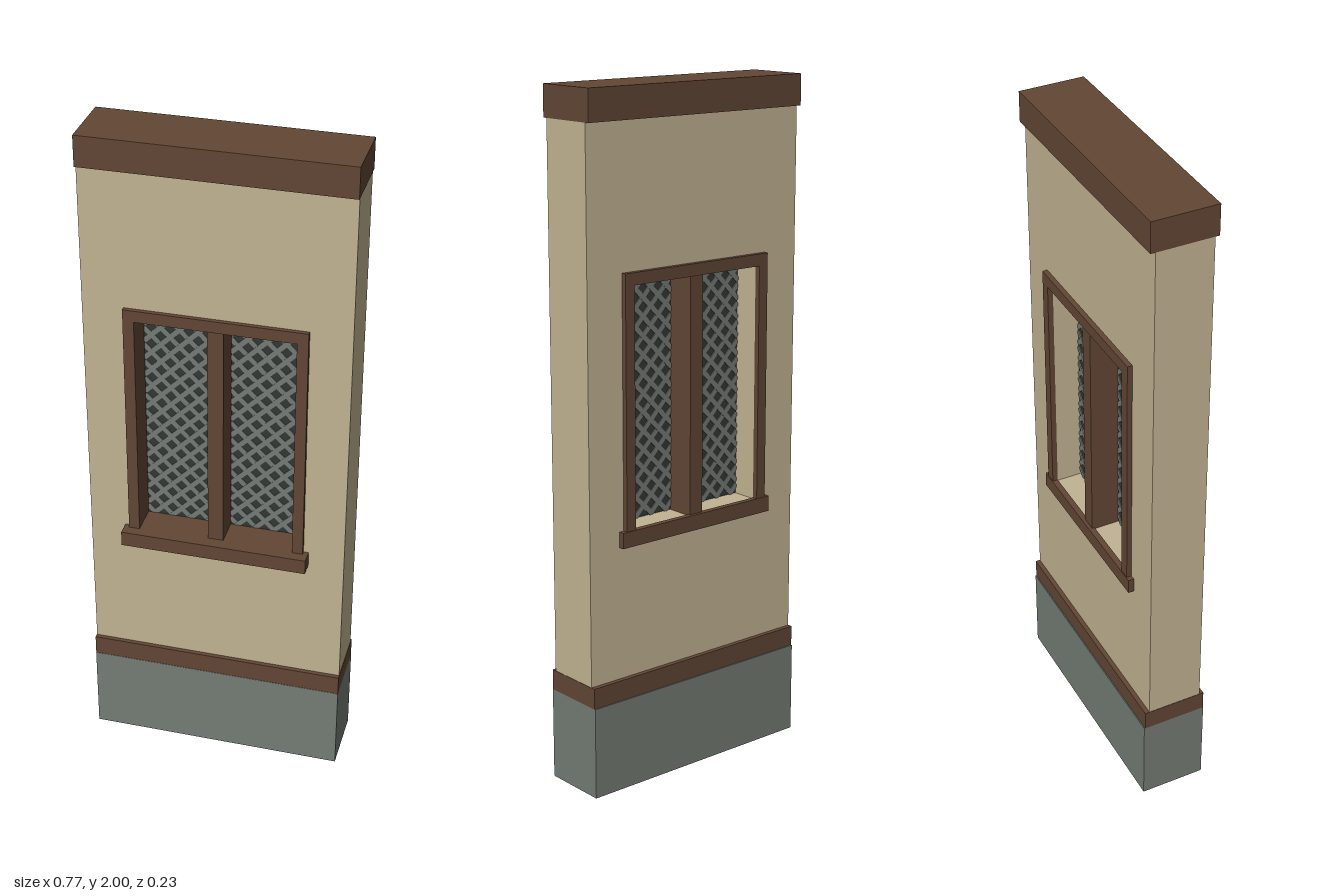
import * as THREE from 'three';

const mat = (name, color) => {
  const m = new THREE.MeshStandardMaterial({ color });
  m.name = name;
  return m;
};

export function createModel() {
  const group = new THREE.Group();
  const plaster = mat('plaster', 0xc2b392);
  const timber = mat('timber', 0x614634);
  const stone = mat('stone', 0x747b74);
  const glass = mat('darkGlass', 0x323735);
  const lead = mat('leadGrey', 0x737a75);

  // Box given by its limits on each axis
  const box = (name, material, x0, x1, y0, y1, z0, z1, parent = group) => {
    const mesh = new THREE.Mesh(new THREE.BoxGeometry(x1 - x0, y1 - y0, z1 - z0), material);
    mesh.position.set((x0 + x1) / 2, (y0 + y1) / 2, (z0 + z1) / 2);
    mesh.name = name;
    parent.add(mesh);
    return mesh;
  };
  const rect = (target, x0, x1, y0, y1) => {
    target.moveTo(x0, y0);
    target.lineTo(x1, y0);
    target.lineTo(x1, y1);
    target.lineTo(x0, y1);
    target.closePath();
    return target;
  };

  // Stone footing and the horizontal beams
  const W = 0.383;
  box('stoneBase', stone, -W, W, 0, 0.272, -0.114, 0.084);
  box('lowerBeam', timber, -W, W, 0.272, 0.333, -0.111, 0.083);
  box('topBeam', timber, -W, W, 1.91, 2, -0.112, 0.082);

  // Plaster wall with the window opening
  const wallShape = rect(new THREE.Shape(), -W + 0.001, W - 0.001, 0.333, 1.91);
  wallShape.holes.push(rect(new THREE.Path(), -0.232, 0.232, 0.767, 1.467));
  const wall = new THREE.Mesh(
    new THREE.ExtrudeGeometry(wallShape, { depth: 0.167, bevelEnabled: false }), plaster);
  wall.position.z = -0.097;
  wall.name = 'wall';
  group.add(wall);

  // Window frames: a deep one in front, a thin trim behind
  const frame = (name, z0, z1) => {
    for (const s of [-1, 1]) {
      const a = s * 0.23, b = s * 0.262;
      box(name + 'Post', timber, Math.min(a, b), Math.max(a, b), 0.77, 1.5, z0, z1);
    }
    box(name + 'Head', timber, -0.23, 0.23, 1.465, 1.5, z0, z1);
  };
  frame('frontFrame', -0.01, 0.083);
  frame('backFrame', -0.112, -0.096);
  box('frontSill', timber, -0.277, 0.277, 0.725, 0.771, 0.069, 0.114);
  box('innerSill', timber, -0.23, 0.23, 0.75, 0.771, -0.01, 0.07);
  box('backSill', timber, -0.277, 0.277, 0.725, 0.771, -0.114, -0.096);
  box('mullion', timber, -0.023, 0.023, 0.767, 1.467, -0.104, 0.076);

  // Leaded panes: dark glass with diagonal bars clipped to the opening
  const y0 = 0.768, y1 = 1.466, zc = -0.015, step = 0.055;
  for (const s of [-1, 1]) {
    const pane = new THREE.Group();
    pane.name = s > 0 ? 'leftPane' : 'rightPane';
    group.add(pane);
    const x0 = s > 0 ? 0.022 : -0.231, x1 = x0 + 0.209;
    box('glass', glass, x0, x1, y0, y1, zc - 0.003, zc + 0.003, pane);
    for (const dir of [-1, 1]) {
      const start = dir > 0 ? x0 : x1;
      for (let c = y0 - 0.209 + step / 2; c < y1; c += step) {
        // Bar runs along y = c + t at a distance t from its starting side
        const t0 = Math.max(0, y0 - c), t1 = Math.min(0.209, y1 - c);
        if (t1 - t0 < 0.012) continue;
        const bar = new THREE.Mesh(
          new THREE.BoxGeometry((t1 - t0) * Math.SQRT2, 0.015, dir > 0 ? 0.012 : 0.011), lead);
        const t = (t0 + t1) / 2;
        bar.position.set(start + dir * t, c + t, zc);
        bar.rotation.z = dir * Math.PI / 4;
        bar.name = 'latticeBar';
        pane.add(bar);
      }
    }
  }
  return group;
}
